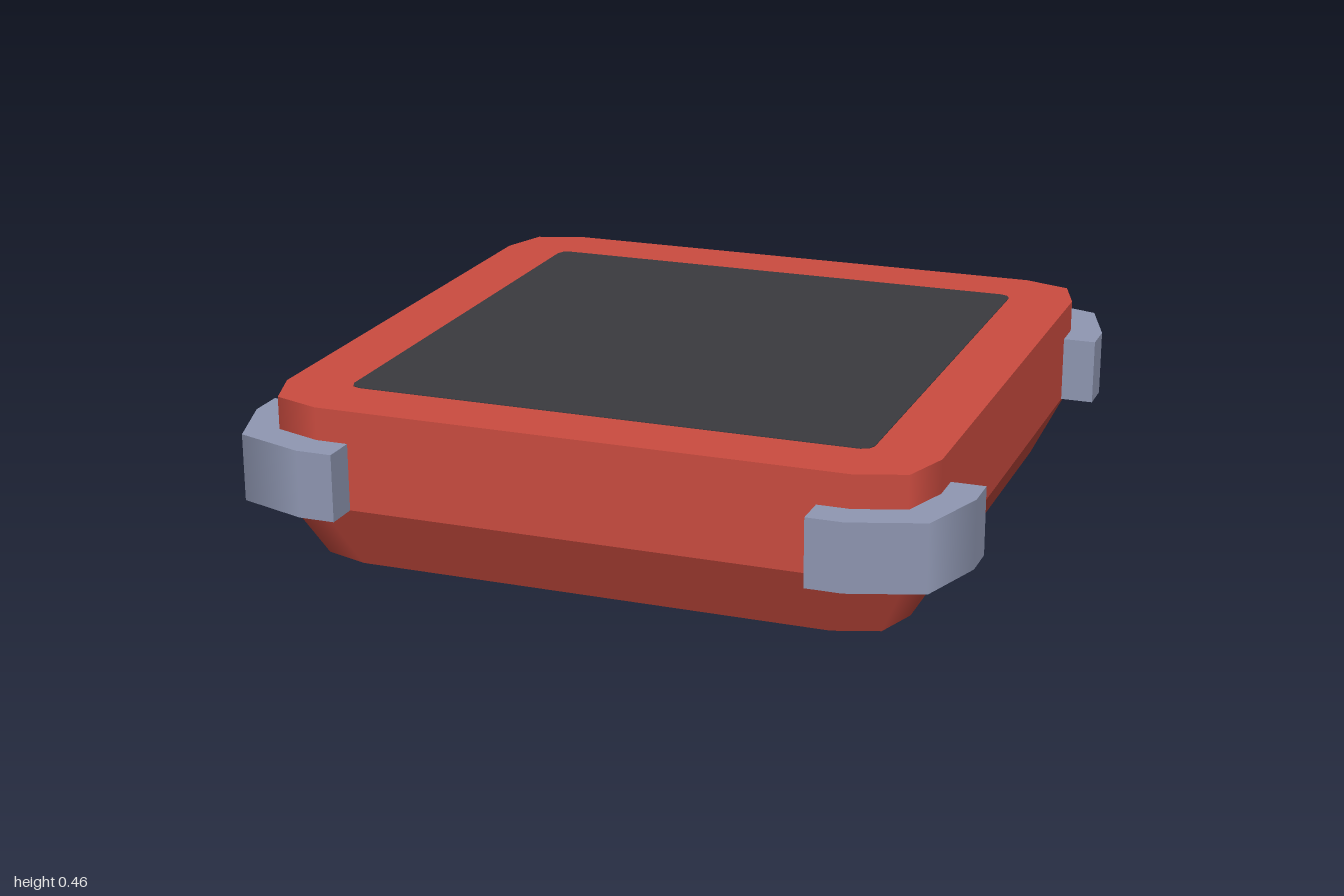
import * as THREE from 'three';
import { mergeGeometries } from 'three/addons/utils/BufferGeometryUtils.js';

// Outline points are [x, z, normalX, normalZ], running from +x towards +z.
const D = Math.SQRT1_2;

// Square outline with two-facet rounded corners
function ring(half, start, mid) {
  const corner = [[half, start, 1, 0], [mid, mid, D, D], [start, half, 0, 1]];
  const points = [];
  for (let q = 0; q < 4; q++) {
    const c = [1, 0, -1, 0][q], s = [0, 1, 0, -1][q];
    for (const [x, z, nx, nz] of corner) {
      points.push([x * c - z * s, x * s + z * c, nx * c - nz * s, nx * s + nz * c]);
    }
  }
  points.push(points[0]);
  return points;
}

// Wall between two outlines; the slope tilts the smooth normals downwards
function wall(low, y0, high, y1, slope = 0) {
  const position = [], normal = [], uv = [], index = [];
  const k = Math.hypot(1, slope);
  low.forEach((a, i) => {
    const b = high[i];
    position.push(a[0], y0, a[1], b[0], y1, b[1]);
    for (let j = 0; j < 2; j++) {
      normal.push(a[2] / k, -slope / k, a[3] / k);
      uv.push(i / low.length, j);
    }
    if (i > 0) {
      const p = 2 * i - 2;
      index.push(p, p + 1, p + 2, p + 2, p + 1, p + 3);
    }
  });
  const g = new THREE.BufferGeometry();
  g.setAttribute('position', new THREE.Float32BufferAttribute(position, 3));
  g.setAttribute('normal', new THREE.Float32BufferAttribute(normal, 3));
  g.setAttribute('uv', new THREE.Float32BufferAttribute(uv, 2));
  g.setIndex(index);
  return g;
}

// Flat face filling an outline, looking up or down
function cap(points, y, up) {
  const sign = up ? -1 : 1;
  const shape = new THREE.Shape(points.map(([x, z]) => new THREE.Vector2(x, sign * z)));
  return new THREE.ShapeGeometry(shape).rotateX(sign * Math.PI / 2).translate(0, y, 0);
}

export function createModel() {
  const model = new THREE.Group();
  model.name = 'squarePad';
  const red = new THREE.MeshStandardMaterial({ name: 'red shell', color: 0xcc4c40 });
  const dark = new THREE.MeshStandardMaterial({ name: 'dark panel', color: 0x3b3a3f });
  const grey = new THREE.MeshStandardMaterial({ name: 'blue grey bumper', color: 0x9098b3 });

  const add = (name, geometry, material) => {
    const mesh = new THREE.Mesh(geometry, material);
    mesh.name = name;
    model.add(mesh);
    return mesh;
  };

  // Body: upright sides over a tapered base
  const base = ring(0.818, 0.655, 0.777);
  const side = ring(0.908, 0.73, 0.863);
  add('body', mergeGeometries([
    wall(base, 0, side, 0.185, 0.49),
    wall(side, 0.185, side, 0.46),
    cap(side.slice(0, -1), 0.46, true),
    cap(base.slice(0, -1), 0, false),
  ]), red);

  // Dark panel set into the top
  const panel = ring(0.725, 0.695, 0.716);
  add('topPanel', mergeGeometries([
    wall(panel, 0.459, panel, 0.462),
    cap(panel.slice(0, -1), 0.462, true),
  ]), dark);

  // Bumpers wrapped around the four corners
  const outer = [[1, 0.64, 1, 0], [1, 0.74, 1, 0], [0.935, 0.935, D, D], [0.74, 1, 0, 1], [0.64, 1, 0, 1]];
  const inner = [[0.64, 0.9], [0.73, 0.9], [0.86, 0.86], [0.9, 0.73], [0.9, 0.64]];
  const endA = [[0.64, 1, -1, 0], [0.64, 0.9, -1, 0]];
  const endB = [[0.9, 0.64, 0, -1], [1, 0.64, 0, -1]];
  const y0 = 0.185, y1 = 0.37;
  const bumper = mergeGeometries([
    ...[outer, endA, endB].map((p) => wall(p, y0, p, y1)),
    cap([...outer, ...inner], y1, true),
    cap([...outer, ...inner], y0, false),
  ]);
  ['frontLeft', 'backLeft', 'backRight', 'frontRight'].forEach((corner, i) => {
    add(corner + 'Bumper', bumper, grey).rotation.y = i * Math.PI / 2;
  });
  return model;
}
